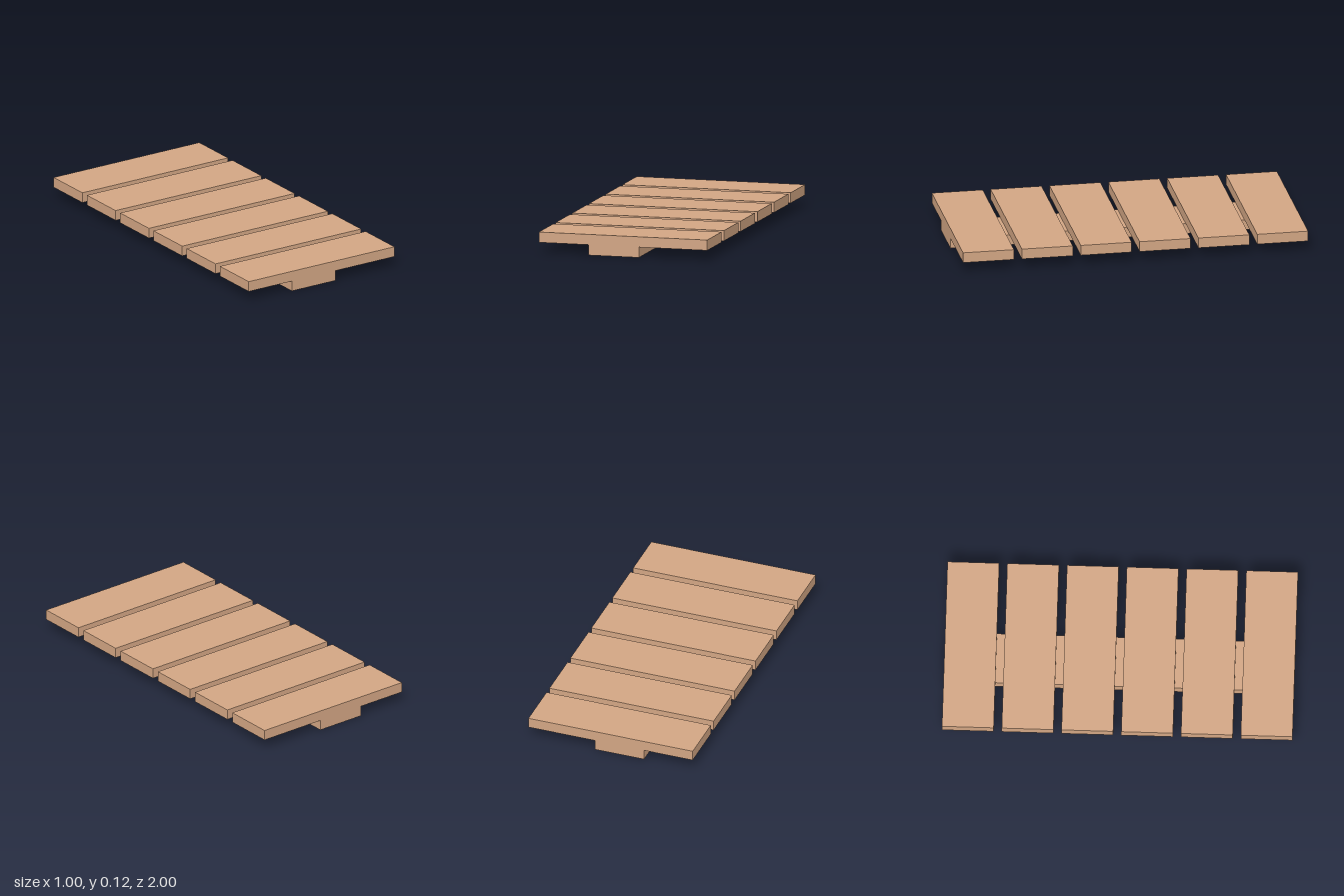
import * as THREE from 'three';

const LENGTH = 2, PLANK_COUNT = 6, PLANK_DEPTH = 0.295;
const THICKNESS = 0.06;

export function createModel() {
  const model = new THREE.Group();
  model.name = 'plankWalkway';
  const wood = new THREE.MeshStandardMaterial({ color: 0xd2a583 });

  function addBoard(name, width, height, depth, x, y, z) {
    const board = new THREE.Mesh(new THREE.BoxGeometry(width, height, depth), wood);
    board.name = name;
    board.position.set(x, y, z);
    model.add(board);
  }

  // Long support beam, set slightly off centre
  addBoard('supportBeam', 0.298, THICKNESS, LENGTH, -0.055, THICKNESS / 2, 0);

  // Evenly spaced cross planks lying on the beam
  const pitch = (LENGTH - PLANK_DEPTH) / (PLANK_COUNT - 1);
  for (let i = 0; i < PLANK_COUNT; i++) {
    const z = (i - (PLANK_COUNT - 1) / 2) * pitch;
    addBoard(`plank${i + 1}`, 1, THICKNESS, PLANK_DEPTH, 0, THICKNESS * 1.5, z);
  }

  return model;
}
